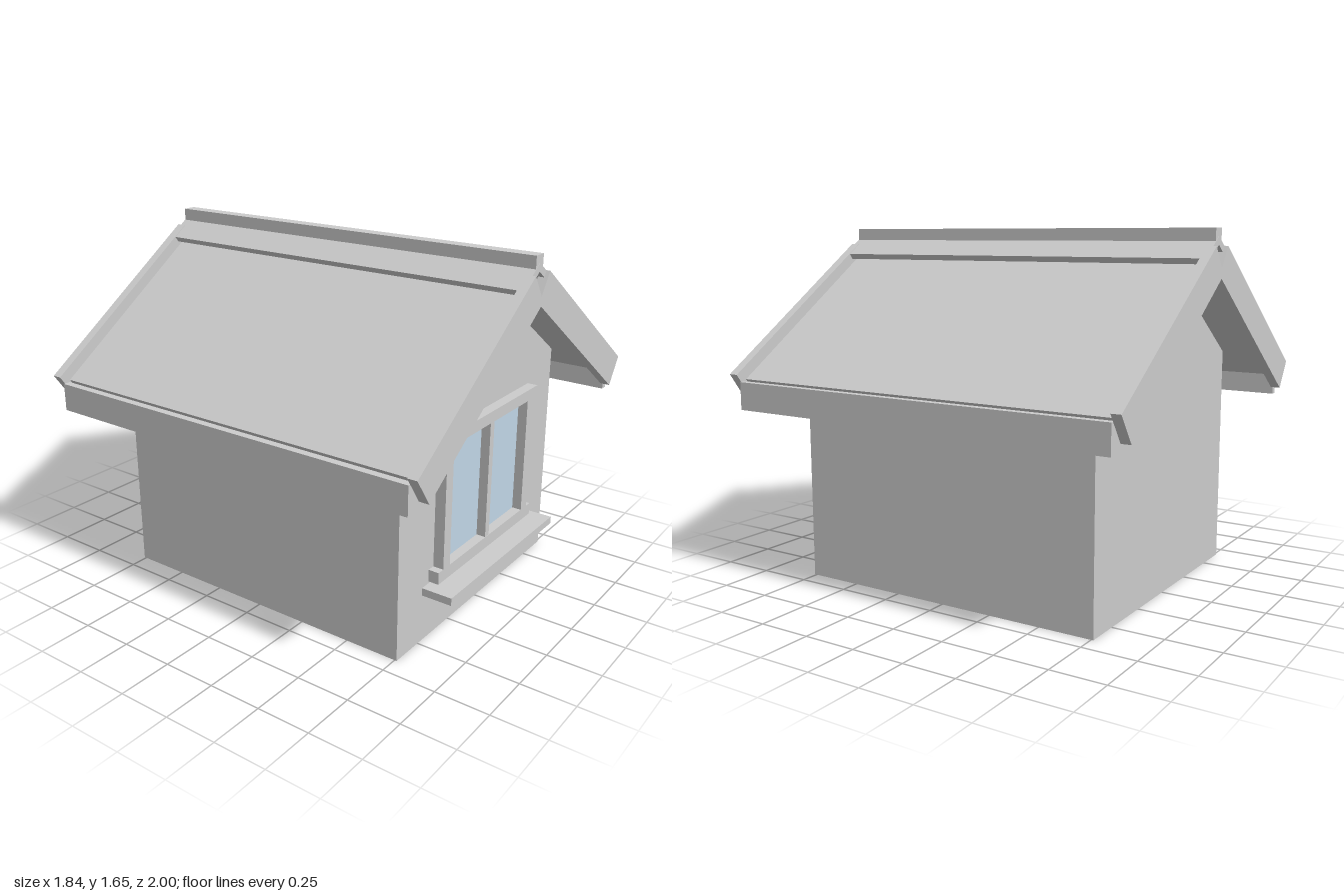
import * as THREE from 'three';

const grey = new THREE.MeshStandardMaterial({ color: 0xcccccc });
grey.name = 'plain grey';
const glassBlue = new THREE.MeshStandardMaterial({ color: 0xc0d6e6 });
glassBlue.name = 'glass blue';

const SLOPE = 0.684; // roof fall per unit of x

export function createModel() {
  const house = new THREE.Group();
  house.name = 'house';

  function add(name, geometry, material = grey) {
    const mesh = new THREE.Mesh(geometry, material);
    mesh.name = name;
    house.add(mesh);
  }
  // Box given by its limits on each axis
  function box(name, x0, x1, y0, y1, z0, z1, material) {
    const g = new THREE.BoxGeometry(x1 - x0, y1 - y0, z1 - z0);
    g.translate((x0 + x1) / 2, (y0 + y1) / 2, (z0 + z1) / 2);
    add(name, g, material);
  }
  // Cross-section in x and y, extruded from z0 to z1
  function prism(name, points, z0, z1, side = 1) {
    const shape = new THREE.Shape(points.map(([x, y]) => new THREE.Vector2(x * side, y)));
    const g = new THREE.ExtrudeGeometry(shape, { depth: z1 - z0, bevelEnabled: false });
    g.translate(0, 0, z0);
    add(name, g);
  }

  // Walls with gables
  const eaves = 1.505 - SLOPE * 0.663;
  prism('walls', [[-0.663, 0], [0.663, 0], [0.663, eaves], [0, 1.505], [-0.663, eaves]], -0.76, 0.76);

  // Roof sections, square cut at both ends and meeting at the ridge
  const slab = [[0, 1.5], [0.842, 0.924], [0.866, 0.96], [0.02, 1.5385], [0, 1.51]];
  const barge = [[0, 1.432], [0.835, 0.861], [0.921, 0.986], [0.065, 1.57], [0, 1.475]];
  const cap = [[0, 1.575], [0.117, 1.495], [0.135, 1.52], [0, 1.612]];

  for (const side of [1, -1]) {
    const label = side > 0 ? 'left' : 'right';
    prism(label + 'RoofSlab', slab, -0.956, 0.956, side);
    prism(label + 'RidgeFlashing', cap, -0.984, 0.984, side);
    prism(label + 'FrontBargeboard', barge, 0.955, 1, side);
    prism(label + 'BackBargeboard', barge, -1, -0.955, side);
    const x = side * 0.888;
    box(label + 'Fascia', x - 0.017, x + 0.017, 0.822, 0.951, -0.952, 0.952);
  }

  // Ridge beam
  box('ridgeBeam', -0.032, 0.032, 1.59, 1.646, -0.982, 0.982);

  // Window on the front wall
  box('windowGlass', -0.335, 0.335, 0.325, 0.882, 0.757, 0.764, glassBlue);
  box('windowHeader', -0.425, 0.425, 0.882, 0.935, 0.75, 0.81);
  box('windowBottomRail', -0.425, 0.425, 0.27, 0.326, 0.75, 0.81);
  for (const side of [1, -1]) {
    const x = side * 0.36;
    box(side > 0 ? 'leftJamb' : 'rightJamb', x - 0.027, x + 0.027, 0.326, 0.882, 0.75, 0.81);
  }
  box('windowMullion', -0.017, 0.017, 0.326, 0.882, 0.75, 0.808);
  box('windowSill', -0.475, 0.475, 0.225, 0.26, 0.75, 0.905);

  return house;
}
